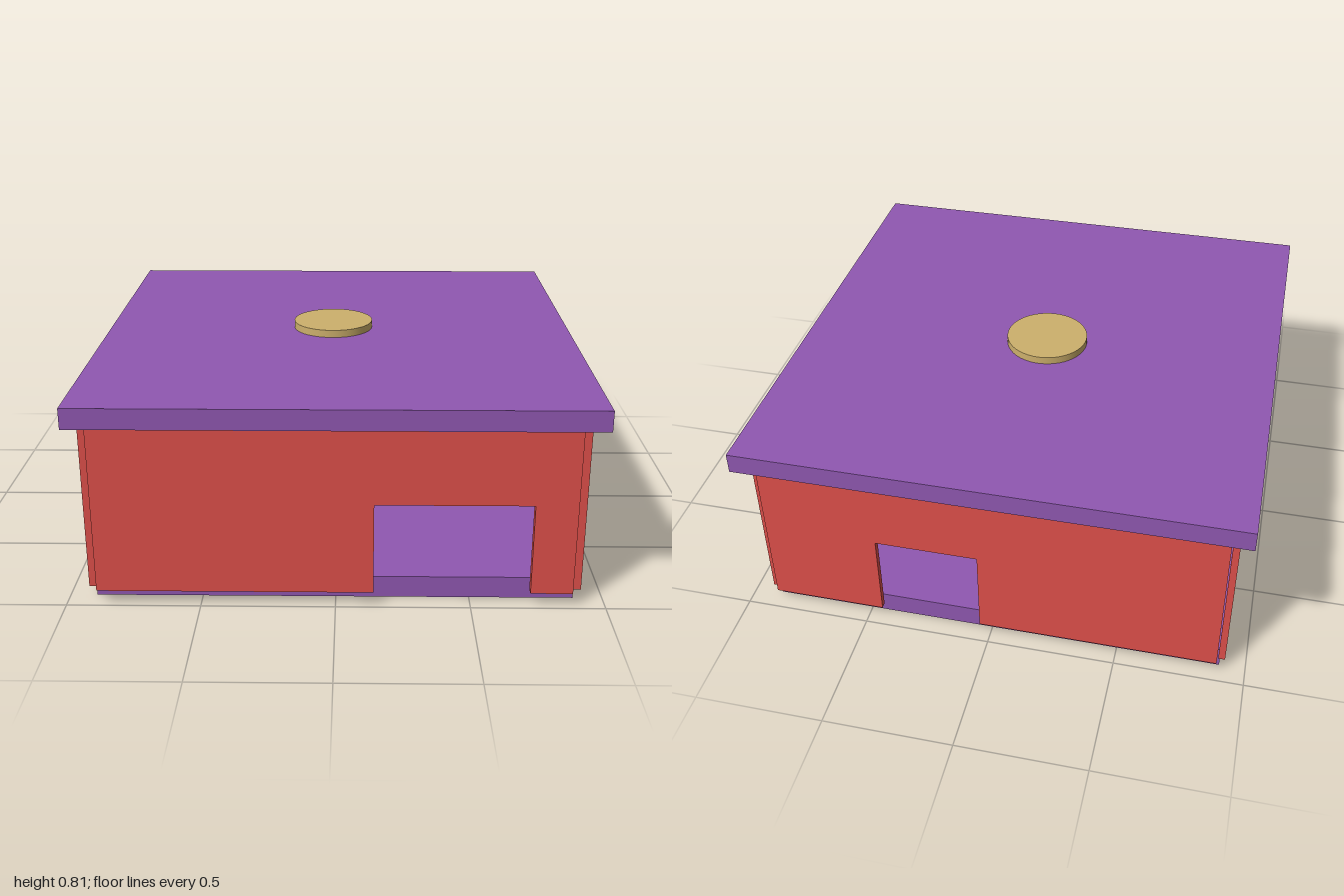
import * as THREE from 'three';

const mat = (color) => new THREE.MeshStandardMaterial({ color, flatShading: true });

export function createModel() {
  const group = new THREE.Group();
  const purple = mat(0x9058b2);
  const red = mat(0xdf504b);
  const gold = mat(0xcdb06c);
  const green = mat(0x2f9440);

  const add = (name, geometry, material) => {
    const mesh = new THREE.Mesh(geometry, material);
    mesh.name = name;
    group.add(mesh);
    return mesh;
  };

  // Box given by its lower and upper corners
  const box = (name, a, b, material) => {
    const mesh = add(name, new THREE.BoxGeometry(b[0] - a[0], b[1] - a[1], b[2] - a[2]), material);
    mesh.position.set((a[0] + b[0]) / 2, (a[1] + b[1]) / 2, (a[2] + b[2]) / 2);
    return mesh;
  };

  // Wall panel from one end to the other, with an optional doorway open at the bottom
  const BOTTOM = 0.055, TOP = 0.7, LINTEL = 0.41;
  const wall = (name, from, to, thickness, door) => {
    const points = [[from, BOTTOM]];
    if (door) points.push([door[0], BOTTOM], [door[0], LINTEL], [door[1], LINTEL], [door[1], BOTTOM]);
    points.push([to, BOTTOM], [to, TOP], [from, TOP]);
    const shape = new THREE.Shape(points.map(([x, y]) => new THREE.Vector2(x, y)));
    return add(name, new THREE.ExtrudeGeometry(shape, { depth: thickness, bevelEnabled: false }), red);
  };

  // Floor and roof slabs
  box('floor', [-0.9, 0, -0.92], [0.89, 0.085, 0.92], purple);
  box('roof', [-0.97, 0.7, -1], [0.97, 0.78, 1], purple);

  // Front and back walls with doorways
  wall('frontWall', -0.887, 0.877, 0.032, [0.14, 0.72]).position.z = 0.957;
  wall('backWall', -0.89, 0.885, 0.025, [0.04, 0.44]).position.z = -0.965;

  // Side walls, run along z; only the right one has a doorway
  const left = wall('leftWall', -0.938, 0.954, 0.03);
  left.rotation.y = -Math.PI / 2;
  left.position.x = 0.912;
  const right = wall('rightWall', -0.938, 0.954, 0.026, [0.18, 0.66]);
  right.rotation.y = -Math.PI / 2;
  right.position.x = -0.894;

  // Round cap on the roof
  const cap = add('roofCap', new THREE.CylinderGeometry(0.165, 0.165, 0.035, 48), gold);
  cap.material = new THREE.MeshStandardMaterial({ color: 0xcdb06c });
  cap.position.set(-0.025, 0.793, -0.02);

  // Stepped green seat in the middle of the room
  const seat = new THREE.Shape();
  [[-0.3, 0.085], [0.25, 0.085], [0.25, 0.143], [0.2, 0.158], [0.155, 0.16],
    [0.155, 0.225], [-0.205, 0.225], [-0.205, 0.16], [-0.25, 0.158], [-0.3, 0.143]]
    .forEach(([x, y], i) => (i ? seat.lineTo(x, y) : seat.moveTo(x, y)));
  const seatMesh = add('seat', new THREE.ExtrudeGeometry(seat, { depth: 0.4, bevelEnabled: false }), green);
  seatMesh.position.z = -0.22;

  // Ring hung under the roof
  const ring = add('ceilingRing', new THREE.TorusGeometry(0.165, 0.015, 8, 40), gold);
  ring.rotation.x = Math.PI / 2;
  ring.position.set(-0.23, 0.67, -0.39);

  return group;
}
